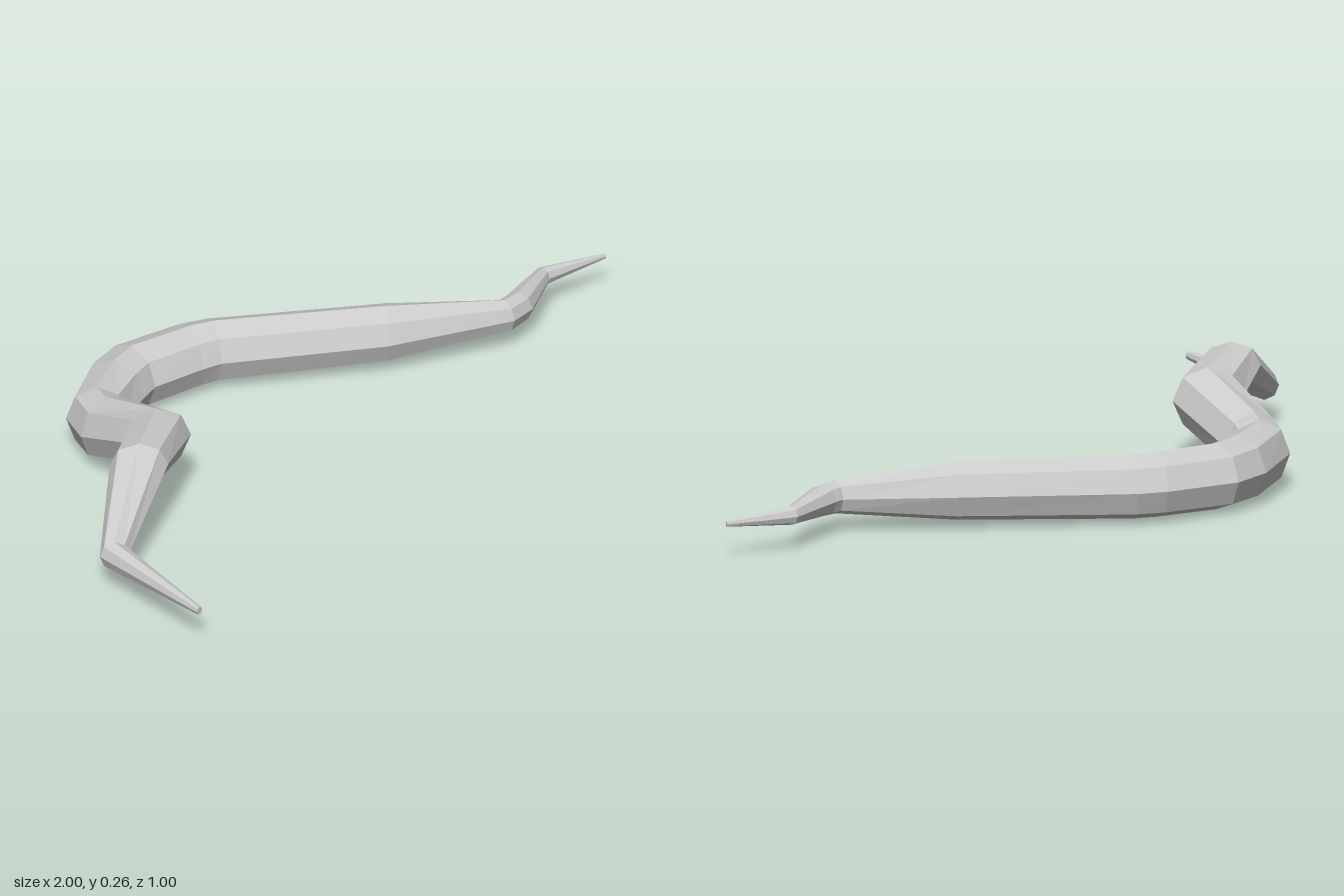
import * as THREE from 'three';

const SIDES = 8;

// Cross-sections along the body: outer x, z | inner x, z | centre height, vertical radius
const RINGS = [
  [-1.0, 0.5, -0.98, 0.5, 0.09, 0.011],
  [-0.957, 0.135, -0.897, 0.178, 0.089, 0.038],
  [-0.75, -0.02, -0.65, 0.085, 0.205, 0.06],
  [-0.595, -0.12, -0.45, -0.02, 0.165, 0.085],
  [-0.56, -0.29, -0.4, -0.27, 0.1, 0.086],
  [-0.505, -0.39, -0.395, -0.285, 0.091, 0.087],
  [-0.34, -0.48, -0.29, -0.32, 0.087, 0.087],
  [-0.225, -0.503, -0.235, -0.335, 0.087, 0.085],
  [-0.03, -0.455, -0.09, -0.305, 0.088, 0.083],
  [0.04, -0.42, -0.04, -0.29, 0.088, 0.082],
  [0.4, -0.145, 0.3, -0.04, 0.09, 0.075],
  [0.62, 0.033, 0.605, 0.107, 0.09, 0.043],
  [0.645, 0.03, 0.68, 0.1, 0.09, 0.041],
  [0.82, -0.015, 0.82, 0.03, 0.09, 0.024],
  [1.0, 0.05, 0.995, 0.06, 0.09, 0.007],
];

// Skin a closed octagonal tube over the cross-sections
function skin(rings) {
  const pos = [];
  const index = [];
  for (const [ox, oz, ix, iz, y, r] of rings) {
    for (let j = 0; j < SIDES; j++) {
      const a = (j / SIDES) * Math.PI * 2;
      const c = Math.cos(a) / 2;
      pos.push((ox + ix) / 2 + (ix - ox) * c, y + r * Math.sin(a), (oz + iz) / 2 + (iz - oz) * c);
    }
  }
  for (let i = 0; i < rings.length - 1; i++) {
    for (let j = 0; j < SIDES; j++) {
      const k = (j + 1) % SIDES;
      const a = i * SIDES + j, b = i * SIDES + k;
      index.push(a, a + SIDES, b + SIDES, a, b + SIDES, b);
    }
  }
  // Close both tips
  const last = (rings.length - 1) * SIDES;
  for (let j = 1; j < SIDES - 1; j++) {
    index.push(0, j, j + 1);
    index.push(last, last + j + 1, last + j);
  }
  const geo = new THREE.BufferGeometry();
  geo.setAttribute('position', new THREE.Float32BufferAttribute(pos, 3));
  geo.setIndex(index);
  geo.computeVertexNormals();
  return geo;
}

export function createModel() {
  const group = new THREE.Group();
  group.name = 'serpentineBody';
  const material = new THREE.MeshStandardMaterial({ color: 0xcccccc, flatShading: true });
  const body = new THREE.Mesh(skin(RINGS), material);
  body.name = 'body';
  group.add(body);
  return group;
}
